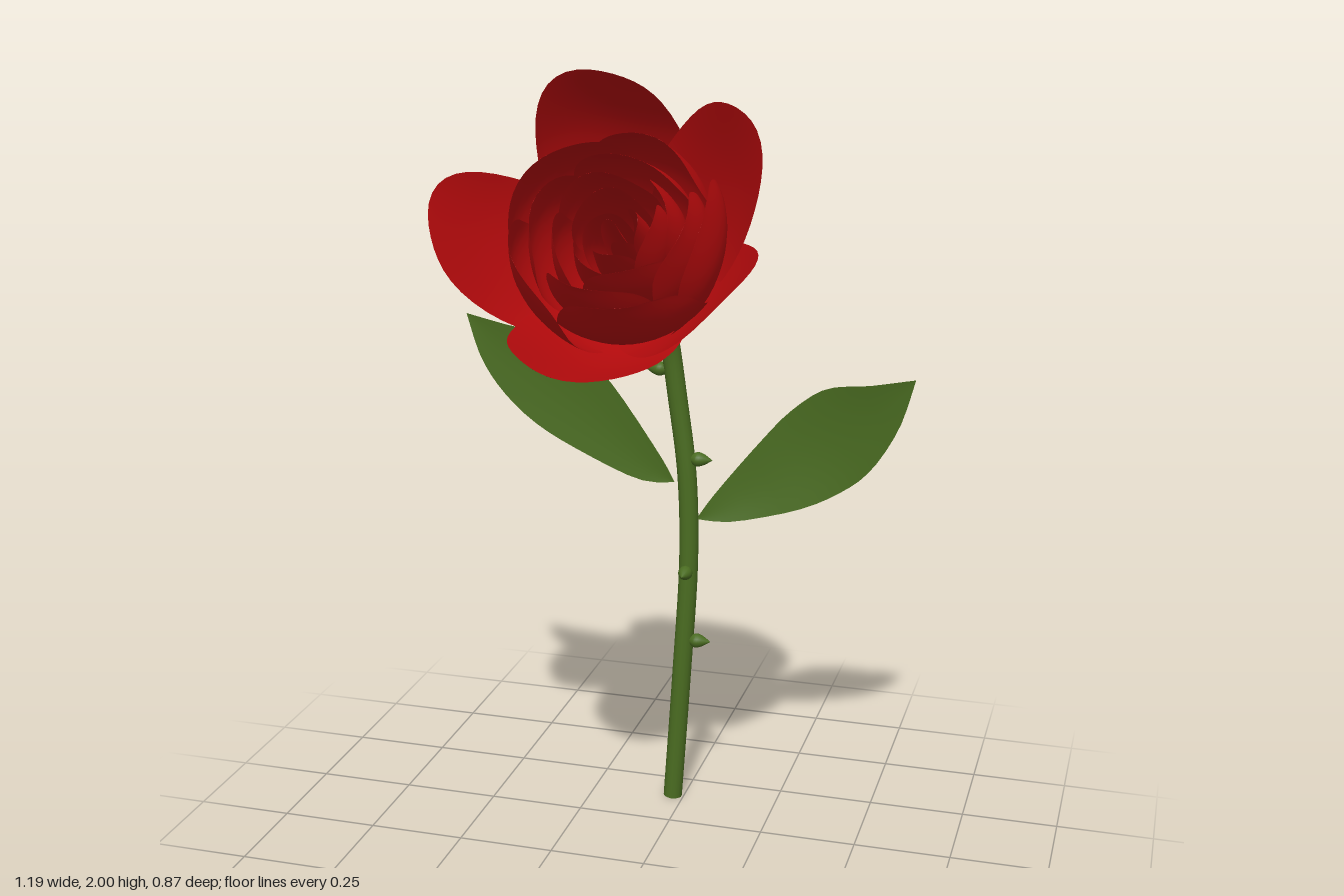
import * as THREE from 'three';

const red = new THREE.MeshStandardMaterial({ color: 0xb40a0c, side: THREE.DoubleSide });
red.name = 'petal red';
const green = new THREE.MeshStandardMaterial({ color: 0x4a6c21, side: THREE.DoubleSide });
green.name = 'leaf green';

const V2 = (x, y) => new THREE.Vector2(x, y);
const V3 = (x, y, z) => new THREE.Vector3(x, y, z);
const spline = (pts) => new THREE.SplineCurve(pts.map(([x, y]) => V2(x, y)));

function mesh(name, geometry, material) {
  const m = new THREE.Mesh(geometry, material);
  m.name = name;
  return m;
}

// Smooth grid surface; fn(u, v) returns a point, u and v run 0..1
function surface(fn, nu, nv) {
  const pos = [], index = [];
  for (let j = 0; j <= nv; j++) {
    for (let i = 0; i <= nu; i++) {
      const p = fn(i / nu, j / nv);
      pos.push(p.x, p.y, p.z);
      if (i < nu && j < nv) {
        const a = j * (nu + 1) + i, b = a + nu + 1;
        index.push(a, a + 1, b, b, a + 1, b + 1);
      }
    }
  }
  const g = new THREE.BufferGeometry();
  g.setAttribute('position', new THREE.Float32BufferAttribute(pos, 3));
  g.setIndex(index);
  g.computeVertexNormals();
  return g;
}

// Cupped petal: follows a (radius, height) profile, wrapped around the flower axis.
// s is the true sideways position, so the blunt tip closes smoothly.
const petalWidths = spline([[0, 0.45], [0.3, 0.78], [0.6, 1], [0.85, 0.96], [1, 0.82]]);
function petal(profile, width, angle, size, ruffle, seed) {
  return surface((u, v) => {
    const t = 1 - (1 - v) ** 2;
    const p = profile.getPoint(t);
    const s = (u * 2 - 1) * petalWidths.getPoint(t).y * Math.sqrt(Math.max(0, 1 - t ** 11));
    const wave = ruffle * t * t * Math.sin(s * 3.5 + seed * 2.3);
    const r = p.x * size + s * 0.014 * t + wave;
    const a = angle + THREE.MathUtils.clamp(s * width / Math.max(p.x * size, 0.01), -1.2, 1.2);
    return V3(r * Math.cos(a), p.y + wave * 0.5 - 0.03 * t * s * s, -r * Math.sin(a));
  }, 16, 20);
}

// Leaf lofted between an upper and a lower edge, with a depth rule
function leaf(upper, lower, depth) {
  const a = spline(upper), b = spline(lower);
  return surface((u, v) => {
    const p = a.getPoint(v).lerp(b.getPoint(v), u);
    return V3(p.x, p.y, depth(v) - 0.006 * Math.sin(Math.PI * u) * Math.sin(Math.PI * v));
  }, 8, 20);
}

export function createModel() {
  const rose = new THREE.Group();
  rose.name = 'flower';

  // Stem with closed foot
  const path = new THREE.CatmullRomCurve3([
    V3(-0.03, 0, -0.395), V3(-0.008, 0.35, -0.395), V3(0.01, 0.7, -0.395), V3(0.003, 0.93, -0.395),
    V3(-0.022, 1.13, -0.392), V3(-0.04, 1.28, -0.378), V3(-0.043, 1.325, -0.355), V3(-0.041, 1.355, -0.315),
  ]);
  rose.add(mesh('stem', new THREE.TubeGeometry(path, 60, 0.025, 14), green));
  const foot = mesh('stemFoot', new THREE.CircleGeometry(0.025, 14), green);
  foot.position.set(-0.03, 0.001, -0.395);
  foot.rotation.x = Math.PI / 2;
  rose.add(foot);

  // Teardrop thorns: base point and pointing direction
  const thorns = [
    [V3(-0.05, 1.205, -0.39), V3(-1, 0, 0)],
    [V3(0.015, 0.97, -0.39), V3(1, 0, 0)],
    [V3(0.015, 0.465, -0.39), V3(1, 0, 0)],
    [V3(0.01, 0.665, -0.38), V3(0, 0, 1)],
  ];
  const drop = spline([[0.01, 0], [0.019, 0.016], [0.015, 0.034], [0, 0.058]]).getPoints(10);
  for (const [base, dir] of thorns) {
    const t = mesh('thorn', new THREE.LatheGeometry(drop, 12), green);
    t.position.copy(base);
    t.quaternion.setFromUnitVectors(V3(0, 1, 0), dir);
    rose.add(t);
  }

  // Leaves
  rose.add(mesh('rightLeaf', leaf(
    [[-0.03, 0.9], [-0.07, 0.97], [-0.19, 1.14], [-0.27, 1.22], [-0.36, 1.27], [-0.48, 1.29], [-0.597, 1.315]],
    [[-0.03, 0.9], [-0.13, 0.9], [-0.29, 0.965], [-0.41, 1.03], [-0.5, 1.11], [-0.56, 1.2], [-0.597, 1.315]],
    () => -0.397), green));
  rose.add(mesh('leftLeaf', leaf(
    [[0.03, 0.805], [0.08, 0.88], [0.19, 1.02], [0.27, 1.11], [0.36, 1.175], [0.47, 1.195], [0.59, 1.223]],
    [[0.03, 0.805], [0.13, 0.805], [0.29, 0.845], [0.4, 0.9], [0.48, 0.97], [0.55, 1.09], [0.59, 1.223]],
    (v) => -0.395 - 0.028 * Math.sin(Math.PI * v * 1.25 - 0.3) * Math.min(1, v * 4)), green));

  // Flower head, tilted forward; local y is the flower axis
  const head = new THREE.Group();
  head.name = 'flowerHead';
  head.position.set(-0.04, 1.475, -0.13);
  head.rotation.x = 0.96;
  rose.add(head);

  // Calyx bell
  const bell = [[0.001, -0.275], [0.027, -0.27], [0.031, -0.25], [0.032, -0.21], [0.044, -0.155], [0.066, -0.11],
    [0.092, -0.065], [0.117, -0.025], [0.128, 0.002], [0.125, 0.014], [0.1, 0.01], [0.001, -0.01]];
  head.add(mesh('calyx', new THREE.LatheGeometry(spline(bell).getPoints(44), 32), green));

  // Five outer petals: profile, direction in degrees, size; the upper one is fuller
  const full = spline([[0.03, -0.01], [0.118, 0.025], [0.228, 0.105], [0.318, 0.235], [0.37, 0.41]]);
  const flared = spline([[0.03, -0.01], [0.102, 0.03], [0.2, 0.112], [0.293, 0.245], [0.378, 0.41]]);
  const outer = [[full, 104, 0.97], [flared, 37, 1], [flared, -34, 0.98], [flared, -100, 1.03], [flared, -176, 1.06]];
  outer.forEach(([profile, deg, size], i) => {
    head.add(mesh('outerPetal', petal(profile, 0.2, THREE.MathUtils.degToRad(deg), size, 0.01, i), red));
  });

  // Nested inner rings closing towards the centre: belly radius, rim radius, height, half width, count
  const rings = [
    [0.25, 0.225, 0.37, 0.2, 5], [0.205, 0.175, 0.365, 0.18, 4], [0.16, 0.135, 0.35, 0.145, 4],
    [0.118, 0.098, 0.335, 0.12, 3], [0.075, 0.06, 0.315, 0.08, 3], [0.035, 0.03, 0.3, 0.04, 2],
  ];
  rings.forEach(([belly, rim, h, width, count], k) => {
    const cup = spline([[0.02, 0], [belly * 0.5, h * 0.11], [belly * 0.86, h * 0.38], [belly, h * 0.68], [rim, h]]);
    for (let i = 0; i < count; i++) {
      const angle = 2.45 + k * 0.55 - (i * Math.PI * 2) / count;
      head.add(mesh('innerPetal', petal(cup, width, angle, 1 - 0.04 * (i % 2), 0.006, i + k), red));
    }
  });

  return rose;
}
